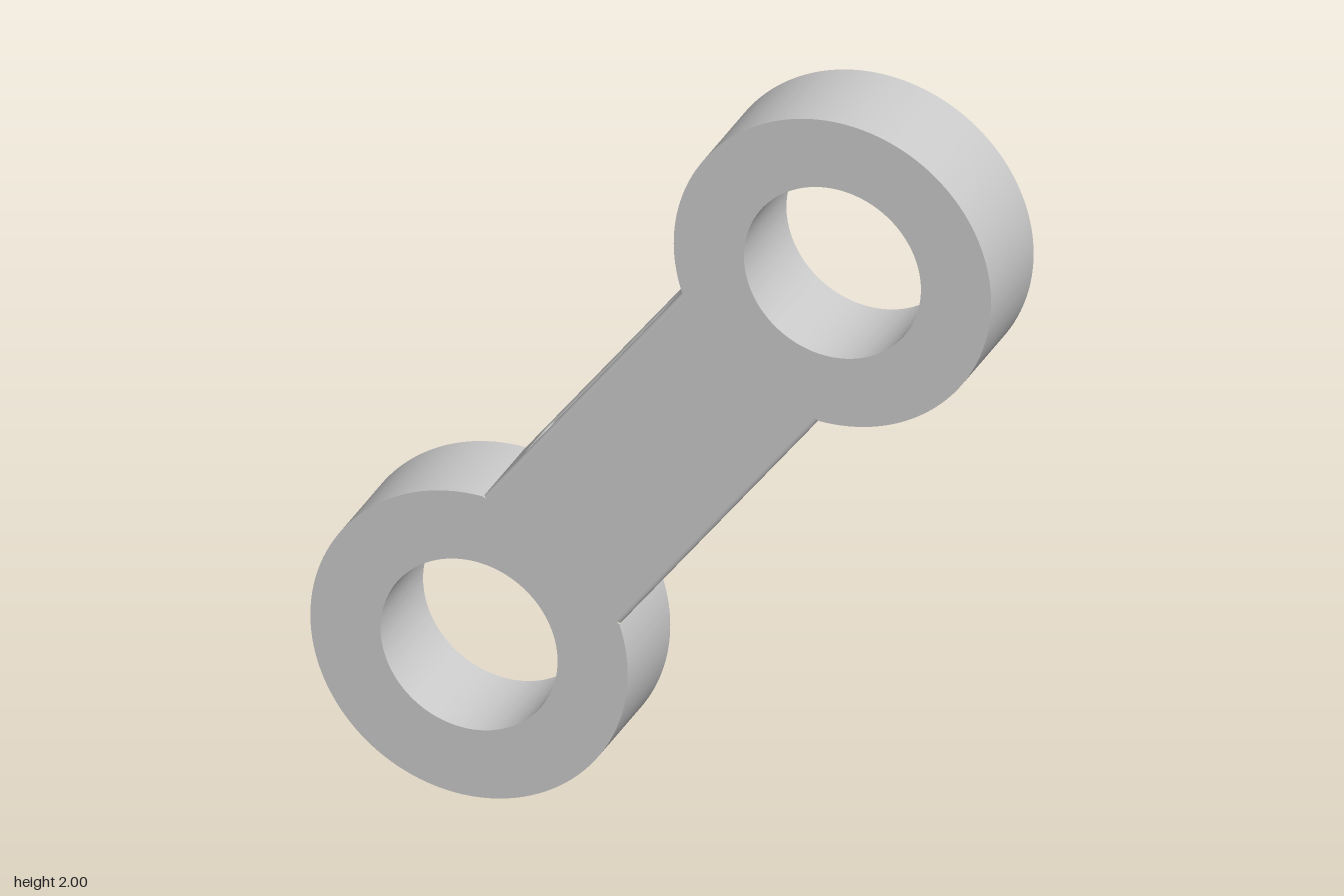
import * as THREE from 'three';
import { toCreasedNormals } from 'three/addons/utils/BufferGeometryUtils.js';

const CENTRE = new THREE.Vector2(0.466, 0.593); // eye centre relative to the link's middle
const REACH = CENTRE.length();
const OUTER = 0.407, BORE = 0.227;
const HALF_DEPTH = 0.135, HALF_WIDTH = 0.222, FILLET = 0.012;
const JOINT = REACH - Math.sqrt(OUTER ** 2 - HALF_WIDTH ** 2); // where bar meets eye

// Rounded rectangle centred on the origin
function roundedRect(path, hx, hy, r) {
  path.absarc(hx - r, hy - r, r, 0, Math.PI / 2, false);
  path.absarc(-hx + r, hy - r, r, Math.PI / 2, Math.PI, false);
  path.absarc(-hx + r, -hy + r, r, Math.PI, Math.PI * 1.5, false);
  path.absarc(hx - r, -hy + r, r, Math.PI * 1.5, Math.PI * 2, false);
  return path;
}

// Remove the hidden faces lying in either joint plane between bar and eyes
function openJoints(geometry) {
  const p = geometry.attributes.position;
  const kept = [];
  for (let i = 0; i < p.count; i += 3) {
    const corners = [i, i + 1, i + 2];
    const hidden = [-JOINT, JOINT].some((plane) =>
      corners.every((k) => Math.abs(p.getX(k) - plane) < 1e-4));
    if (!hidden) corners.forEach((k) => kept.push(p.getX(k), p.getY(k), p.getZ(k)));
  }
  const out = new THREE.BufferGeometry();
  out.setAttribute('position', new THREE.Float32BufferAttribute(kept, 3));
  out.computeVertexNormals();
  return out;
}

// Thick ring, cut flat where the bar joins it
function eyeGeometry() {
  const a = Math.PI - Math.asin(HALF_WIDTH / OUTER);
  const shape = new THREE.Shape();
  shape.absarc(REACH, 0, OUTER, -a, a, false);
  shape.closePath();
  shape.holes.push(new THREE.Path().absarc(REACH, 0, BORE, 0, Math.PI * 2, true));
  const geo = new THREE.ExtrudeGeometry(shape, {
    depth: HALF_DEPTH * 2, bevelEnabled: false, curveSegments: 96,
  });
  geo.translate(0, 0, -HALF_DEPTH);
  return toCreasedNormals(openJoints(geo), 0.4);
}

// Bar with filleted edges and a slot right through its width
function barGeometry() {
  const hz = HALF_DEPTH - FILLET;
  const shape = new THREE.Shape([[JOINT, -hz], [JOINT, hz], [-JOINT, hz], [-JOINT, -hz]]
    .map(([x, y]) => new THREE.Vector2(x, y)));
  shape.holes.push(roundedRect(new THREE.Path(), 0.277 + FILLET, 0.07 + FILLET, 0.02 + FILLET));
  const depth = 2 * (HALF_WIDTH - FILLET);
  const geo = new THREE.ExtrudeGeometry(shape, {
    depth, bevelEnabled: true, bevelThickness: FILLET, bevelSize: FILLET,
    bevelSegments: 6, curveSegments: 8,
  });
  geo.translate(0, 0, -depth / 2);
  geo.rotateX(-Math.PI / 2);
  // Square off the ends so only the long edges stay rounded
  const p = geo.attributes.position;
  for (let i = 0; i < p.count; i++) {
    const x = p.getX(i);
    if (Math.abs(x) > JOINT - 0.02) p.setX(i, Math.sign(x) * JOINT);
  }
  return openJoints(geo);
}

export function createModel() {
  const material = new THREE.MeshStandardMaterial({ color: 0xcccccc });
  const model = new THREE.Group();
  model.name = 'connectingLink';

  const link = new THREE.Group();
  link.name = 'tiltedLink';
  link.position.y = 1;
  link.rotation.z = CENTRE.angle();
  model.add(link);

  const bar = new THREE.Mesh(barGeometry(), material);
  bar.name = 'slottedBar';
  link.add(bar);

  const eye = eyeGeometry();
  ['upperEye', 'lowerEye'].forEach((name, i) => {
    const mesh = new THREE.Mesh(eye, material);
    mesh.name = name;
    mesh.rotation.z = i * Math.PI;
    link.add(mesh);
  });
  return model;
}
